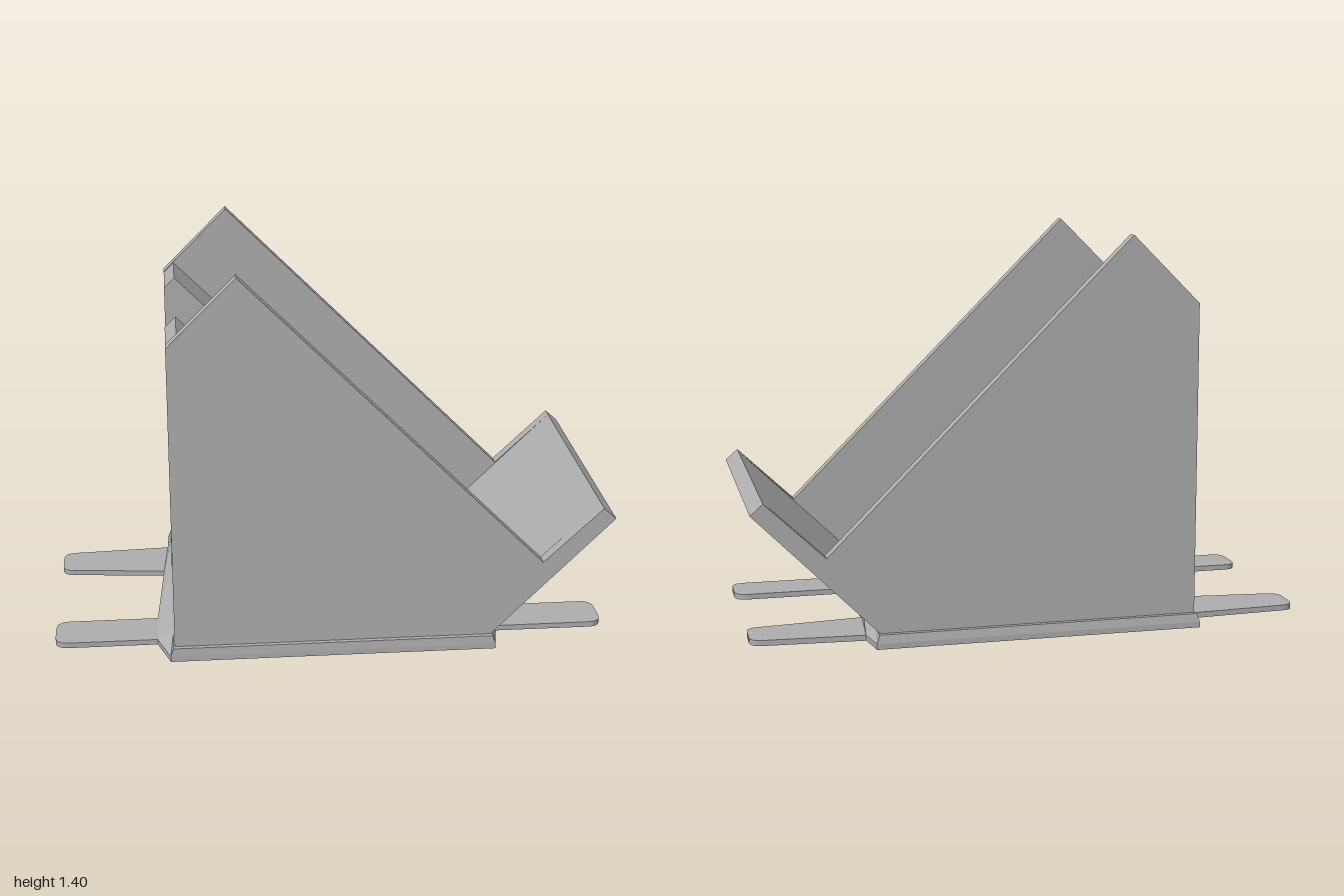
import * as THREE from 'three';

const grey = new THREE.MeshStandardMaterial({ color: 0xb0b0b0 });
grey.name = 'plain grey';

const toShape = (pts) => new THREE.Shape(pts.map(([x, y]) => new THREE.Vector2(x, y)));

// Extrude a side profile (x, y) between two z positions; the back limit may follow x
function slab(name, profile, zBack, zFront) {
  const at = (z, x) => (typeof z === 'function' ? z(x) : z);
  const geo = new THREE.ExtrudeGeometry(toShape(profile), { depth: 1, bevelEnabled: false });
  const p = geo.attributes.position;
  for (let i = 0; i < p.count; i++) {
    const x = p.getX(i);
    p.setZ(i, p.getZ(i) < 0.5 ? at(zBack, x) : at(zFront, x));
  }
  geo.computeVertexNormals();
  const mesh = new THREE.Mesh(geo, grey);
  mesh.name = name;
  return mesh;
}

// Extrude a plan outline (x, z) from y0 to y1
function plate(name, shape, y0, y1, taper) {
  const geo = new THREE.ExtrudeGeometry(shape, { depth: y1 - y0, bevelEnabled: false, curveSegments: 8 });
  geo.rotateX(Math.PI / 2).translate(0, y1, 0);
  if (taper) {
    const p = geo.attributes.position;
    for (let i = 0; i < p.count; i++) {
      if (p.getY(i) < y1 - 0.001) continue;
      p.setX(i, THREE.MathUtils.clamp(p.getX(i), -0.575, 0.57));
      p.setZ(i, THREE.MathUtils.clamp(p.getZ(i), -0.52, 0.52));
    }
    geo.computeVertexNormals();
  }
  const mesh = new THREE.Mesh(geo, grey);
  mesh.name = name;
  return mesh;
}

// Tongue with a rounded tip, from root x to x = side
function tongue(side, root, rootZ0, rootZ1, tipZ0, tipZ1) {
  const r = 0.05, s = new THREE.Shape();
  s.moveTo(side * root, rootZ0);
  s.lineTo(side * (1 - r), tipZ0);
  s.quadraticCurveTo(side, tipZ0, side, tipZ0 + r);
  s.lineTo(side, tipZ1 - r);
  s.quadraticCurveTo(side, tipZ1, side * (1 - r), tipZ1);
  s.lineTo(side * root, rootZ1);
  s.closePath();
  return s;
}

export function createModel() {
  const model = new THREE.Group();
  model.name = 'deviceStand';

  // Upturned lip shared by every profile, ending at the underside
  const lip = [[0.955, 0.525], [1, 0.485], [0.565, 0.05]];
  const wall = [[-0.57, 0.05], [-0.57, 1.16], [-0.33, 1.4], [0.745, 0.325], ...lip];
  const rest = [[-0.57, 0.05], [-0.57, 1.155], [-0.532, 1.193], [0.54, 0.12], ...lip];
  const bridge = [[0.13, 0.05], [0.37, 0.285], [0.54, 0.12], ...lip];

  // Slightly skewed back side of the open slot
  const slotBack = (x) => -0.25 + 0.032 * (x + 0.57);

  model.add(
    slab('leftSideWall', wall, 0.455, 0.503),
    slab('rightSideWall', wall, -0.503, -0.457),
    slab('leftRest', rest, 0.24, 0.455),
    slab('rightRest', rest, -0.457, slotBack),
    slab('frontBridge', bridge, slotBack, 0.24),
  );

  // Base plate with sloping ends
  const outline = [
    [-0.585, 0.522], [-0.63, 0.39], [-0.63, 0.21], [-0.605, -0.19], [-0.59, -0.41], [-0.585, -0.525],
    [0.58, -0.525], [0.6, -0.41], [0.575, -0.12], [0.58, 0.2], [0.605, 0.39], [0.58, 0.522],
  ];
  model.add(
    plate('baseLower', toShape(outline), 0, 0.02, false),
    plate('baseUpper', toShape(outline), 0.02, 0.05, true),
  );

  // Four thin feet reaching out at both ends
  for (const side of [-1, 1]) {
    const end = side < 0 ? 'Rear' : 'Front';
    model.add(
      plate('foot' + end + 'Left', tongue(side, 0.56, 0.215, 0.385, 0.215, 0.385), 0, 0.02, false),
      plate('foot' + end + 'Right', tongue(side, 0.56, -0.412, -0.185, -0.39, -0.225), 0, 0.02, false),
    );
  }
  return model;
}
